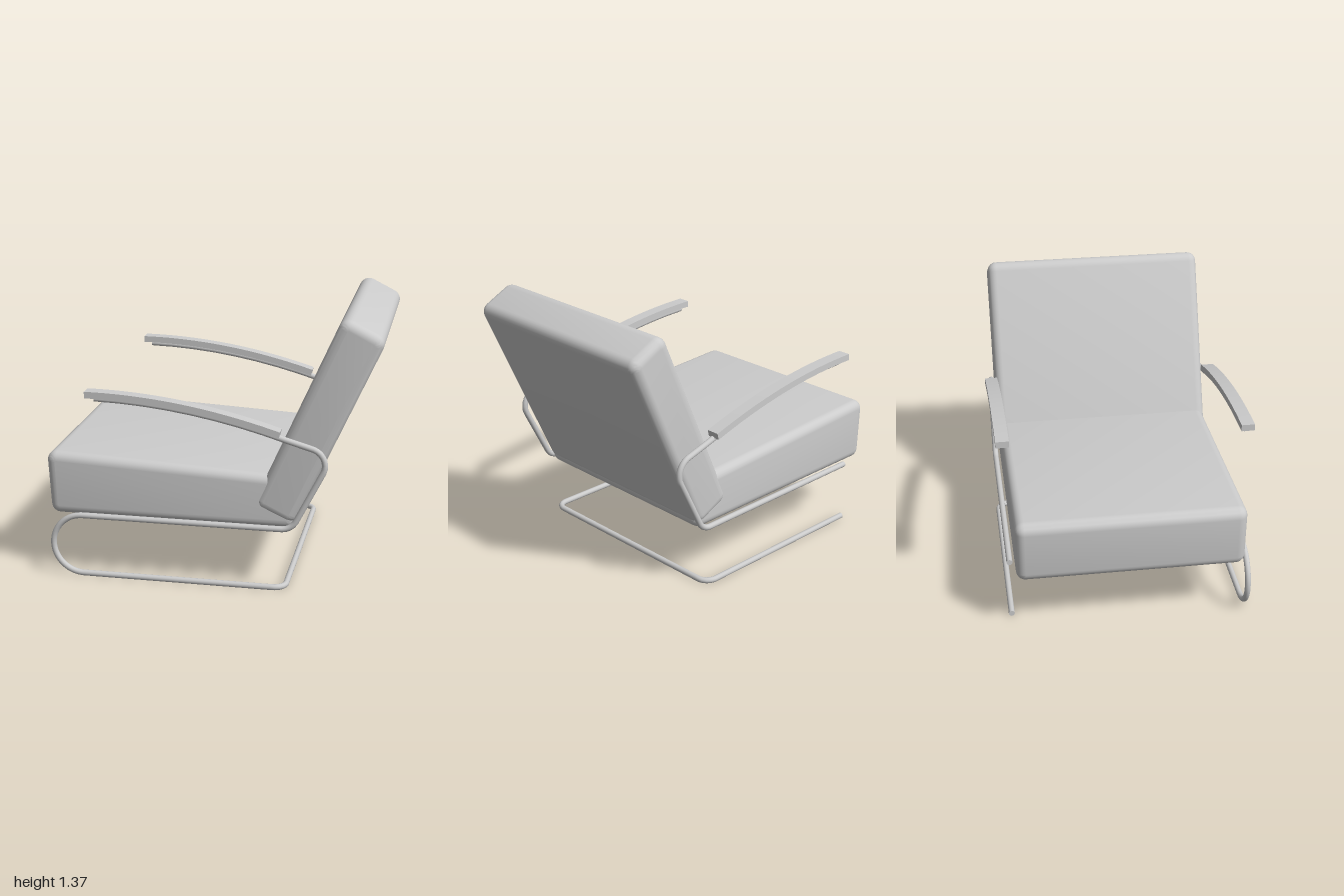
import * as THREE from 'three';
import { toCreasedNormals } from 'three/addons/utils/BufferGeometryUtils.js';

const material = new THREE.MeshStandardMaterial({ color: 0xcccccc, side: THREE.DoubleSide });
const TUBE = 0.015;   // frame tube radius
const SIDE = 0.585;   // distance of the side frames from the centre

// Path through corners [x, y, z, radius], each corner turned with a near-circular arc
function roundedPath(corners, closed = false) {
  const path = new THREE.CurvePath();
  const n = corners.length;
  const pts = corners.map(c => new THREE.Vector3(c[0], c[1], c[2]));
  let last = null, first = null;
  const lineTo = p => {
    if (last && last.distanceTo(p) > 1e-4) path.add(new THREE.LineCurve3(last, p));
    if (!first) first = p;
    last = p;
  };
  for (let i = 0; i < n; i++) {
    const r = corners[i][3] || 0;
    if (!r || (!closed && (i === 0 || i === n - 1))) { lineTo(pts[i]); continue; }
    const p = pts[i];
    const a = pts[(i + n - 1) % n].clone().sub(p).normalize();
    const b = pts[(i + 1) % n].clone().sub(p).normalize();
    const turn = Math.PI - a.angleTo(b);
    const d = r * Math.tan(turn / 2);
    const h = d - r * (4 / 3) * Math.tan(turn / 4);
    const end = p.clone().addScaledVector(b, d);
    lineTo(p.clone().addScaledVector(a, d));
    path.add(new THREE.CubicBezierCurve3(last,
      p.clone().addScaledVector(a, h), p.clone().addScaledVector(b, h), end));
    last = end;
  }
  if (closed) lineTo(first);
  return path;
}

function addMesh(parent, name, geometry) {
  const mesh = new THREE.Mesh(geometry, material);
  mesh.name = name;
  parent.add(mesh);
  return mesh;
}

// Side profile (depth, height) extruded across the width, centred on x = 0
function extrudeAcross(points, width, bevel) {
  const geometry = new THREE.ExtrudeGeometry(new THREE.Shape(points), {
    depth: width - 2 * bevel, bevelEnabled: bevel > 0, bevelSize: bevel,
    bevelThickness: bevel, bevelOffset: -bevel, bevelSegments: 6,
  });
  geometry.translate(0, 0, bevel - width / 2);
  geometry.rotateY(-Math.PI / 2);
  return toCreasedNormals(geometry, 0.5);
}

function cushion(profile, width) {
  const pts = roundedPath(profile.map(([z, y]) => [z, y, 0, 0.05]), true).getPoints(7);
  pts.pop();
  return extrudeAcross(pts.map(p => new THREE.Vector2(p.x, p.y)), width, 0.045);
}

// Tube with closed ends
function addTube(parent, name, corners) {
  const path = roundedPath(corners);
  const group = new THREE.Group();
  group.name = name;
  addMesh(group, 'tube', new THREE.TubeGeometry(path, 320, TUBE, 12, false));
  for (const [t, sign] of [[0, -1], [1, 1]]) {
    const cap = addMesh(group, 'tubeEnd', new THREE.CircleGeometry(TUBE, 12));
    const at = path.getPointAt(t);
    cap.position.copy(at);
    cap.lookAt(at.clone().addScaledVector(path.getTangentAt(t), sign));
  }
  parent.add(group);
}

// Height of the armrest top along its depth
const armTop = z => 0.98 - 0.15 * ((z + 0.6) / 0.96) ** 2;

function armPad() {
  const top = [], bottom = [];
  for (let i = 0; i <= 20; i++) {
    const z = -0.6 + 0.96 * i / 20;
    top.push(new THREE.Vector2(z, armTop(z)));
    bottom.push(new THREE.Vector2(z - 0.008 * i / 20, armTop(z) - 0.033));
  }
  return extrudeAcross([...bottom, ...top.reverse()], 0.065, 0);
}

// Arm support, rear bend and seat rail of one side, from the arm's front end
function upperRail(x) {
  const rail = [];
  for (let i = 0; i <= 8; i++) {
    const z = -0.56 + 0.96 * i / 8;
    rail.push([x, armTop(z) - 0.042, z, i ? 0.6 : 0]);
  }
  rail.push([x, 0.715, 0.61, 0.085], [x, 0.325, 0.415, 0.08]);
  return rail;
}

export function createModel() {
  const model = new THREE.Group();
  model.name = 'loungeChair';
  const chair = new THREE.Group();
  chair.name = 'chair';
  chair.rotation.y = 0.809;   // the chair stands turned on its base
  model.add(chair);

  // Upholstery
  addMesh(chair, 'seatCushion', cushion(
    [[-0.815, 0.313], [0.435, 0.313], [0.42, 0.58], [-0.832, 0.643]], 1.124));
  addMesh(chair, 'backCushion', cushion(
    [[0.215, 0.425], [0.42, 0.33], [0.847, 1.28], [0.64, 1.385]], 1.138));

  // Armrests
  for (const side of [-1, 1]) {
    addMesh(chair, side < 0 ? 'rightArmrest' : 'leftArmrest', armPad()).position.x = side * 0.592;
  }

  // Main frame: one rail, front loop, floor runner and rear crossbar
  addTube(chair, 'mainFrame', [
    ...upperRail(-SIDE),
    [-SIDE, 0.325, -0.795, 0.155],
    [-SIDE, TUBE, -0.795, 0.155],
    [-SIDE, TUBE, 0.385, 0.06],
    [SIDE, TUBE, 0.385, 0.06],
    [SIDE, TUBE, -0.65],
  ]);
  // Second rail, ending under the seat front
  addTube(chair, 'sideRail', [...upperRail(SIDE), [SIDE, 0.325, -0.65]]);

  return model;
}
